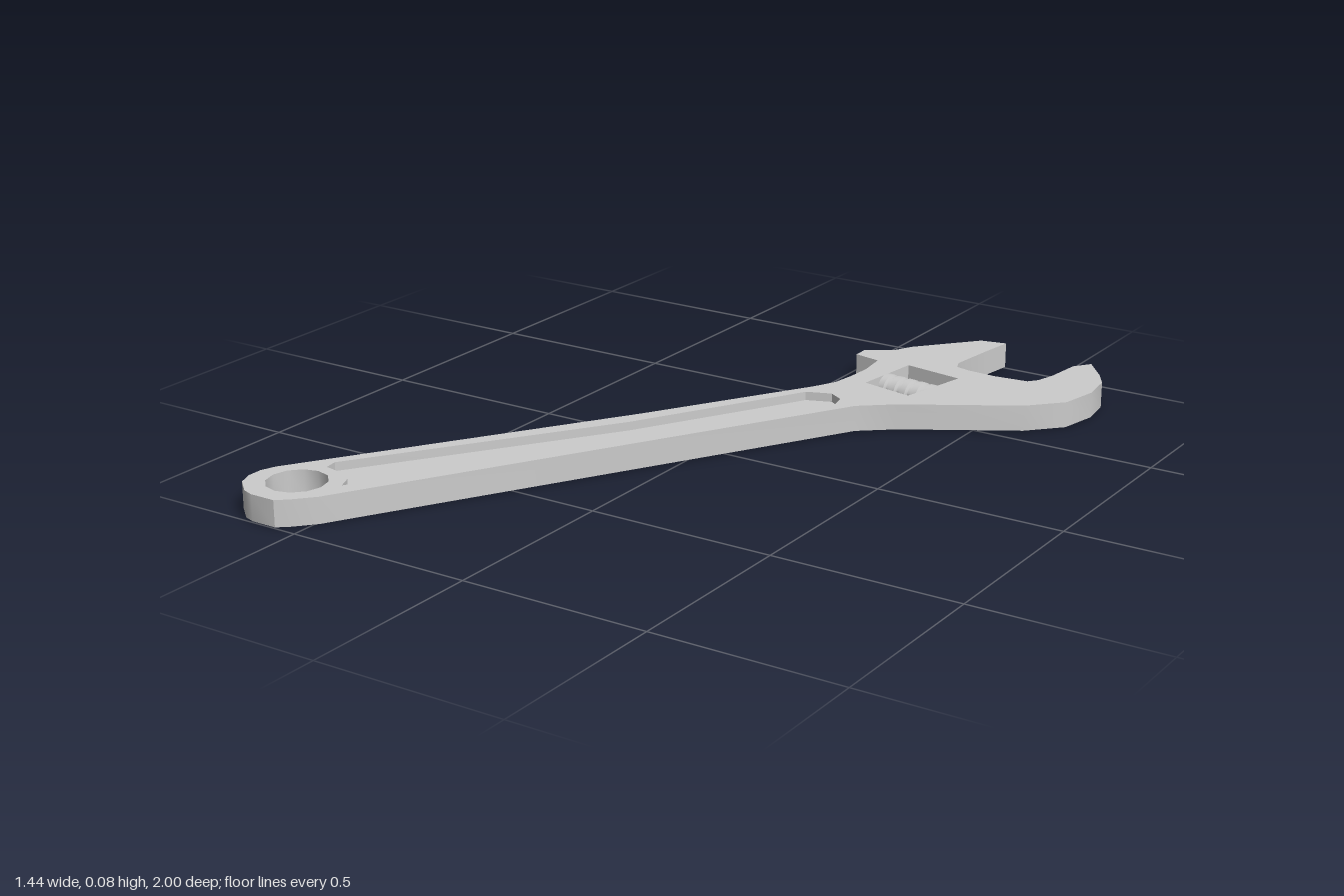
import * as THREE from 'three';
import { toCreasedNormals } from 'three/addons/utils/BufferGeometryUtils.js';

const BOTTOM = 0.003, TOP = 0.072;
const material = new THREE.MeshStandardMaterial({ color: 0xcccccc });

// Plan points are [x, z]; the shape's y is -z so that rotating it lays it flat.
const toVectors = (points) => points.map(([x, z]) => new THREE.Vector2(x, -z));

function slab(name, outline, holes, y0, y1) {
  const shape = new THREE.Shape(toVectors(outline));
  shape.holes = holes.map((h) => new THREE.Path(toVectors(h)));
  const geometry = new THREE.ExtrudeGeometry(shape, { depth: y1 - y0, bevelEnabled: false });
  geometry.rotateX(-Math.PI / 2).translate(0, y0, 0);
  const mesh = new THREE.Mesh(toCreasedNormals(geometry, 0.6), material);
  mesh.name = name;
  return mesh;
}

export function createModel() {
  const group = new THREE.Group();
  group.name = 'adjustableWrench';

  const outline = [
    // movable jaw and its shoulder
    [0.34, -1], [0.27, -0.985], [0.135, -0.83], [0.11, -0.78], [0.04, -0.735], [0.04, -0.69],
    [0.115, -0.675], [0.125, -0.595], [0.12, -0.52], [0.11, -0.455], [0.08, -0.395],
    // handle and rounded end
    [-0.18, 0.03], [-0.705, 0.83], [-0.72, 0.87], [-0.72, 0.91], [-0.705, 0.95], [-0.66, 0.99],
    [-0.63, 1], [-0.56, 1], [-0.53, 0.975], [-0.485, 0.925], [-0.45, 0.865],
    // fixed jaw
    [0.25, -0.32], [0.335, -0.39], [0.615, -0.56], [0.695, -0.645], [0.717, -0.75],
    [0.705, -0.84], [0.675, -0.89], [0.615, -0.965], [0.582, -0.92], [0.57, -0.82],
    // mouth
    [0.555, -0.765], [0.535, -0.74], [0.44, -0.73], [0.36, -0.735], [0.322, -0.745],
    [0.31, -0.775], [0.325, -0.9],
  ];
  const screwWindow = [[0.205, -0.685], [0.37, -0.66], [0.325, -0.465], [0.18, -0.495]];
  const recess = [
    [0.15, -0.37], [0.085, -0.345], [0.06, -0.3], [-0.13, 0.03], [-0.17, 0.1], [-0.605, 0.73],
    [-0.6, 0.765], [-0.545, 0.775], [-0.505, 0.8], [-0.488, 0.84],
    [-0.43, 0.74], [0.185, -0.25], [0.2, -0.3], [0.19, -0.345],
  ];
  const eye = Array.from({ length: 12 }, (_, i) => {
    const a = (i / 12) * Math.PI * 2;
    return [-0.598 + 0.076 * Math.cos(a), 0.875 + 0.078 * Math.sin(a)];
  });

  group.add(slab('body', outline, [screwWindow, recess, eye], BOTTOM, TOP));
  // thin floor between the recesses on both faces of the handle
  group.add(slab('handleWeb', recess, [], 0.026, 0.049));

  // ridged adjusting screw lying across the window
  const length = 0.174, ridges = 5, pitch = length / ridges;
  const profile = [new THREE.Vector2(0, -length / 2)];
  for (let i = 0; i < ridges; i++) {
    const y = -length / 2 + i * pitch;
    for (const [r, t] of [[0.031, 0], [0.031, 0.15], [0.04, 0.25], [0.04, 0.75], [0.031, 0.85], [0.031, 1]]) {
      profile.push(new THREE.Vector2(r, y + t * pitch));
    }
  }
  profile.push(new THREE.Vector2(0, length / 2));
  const screwGeometry = toCreasedNormals(new THREE.LatheGeometry(profile, 20), 0.6);
  screwGeometry.rotateZ(-Math.PI / 2);
  const screw = new THREE.Mesh(screwGeometry, material);
  screw.name = 'adjustingScrew';
  screw.position.set(0.272, 0.0375, -0.573);
  screw.rotation.y = -0.12;
  screw.scale.y = 0.94;
  group.add(screw);

  return group;
}
